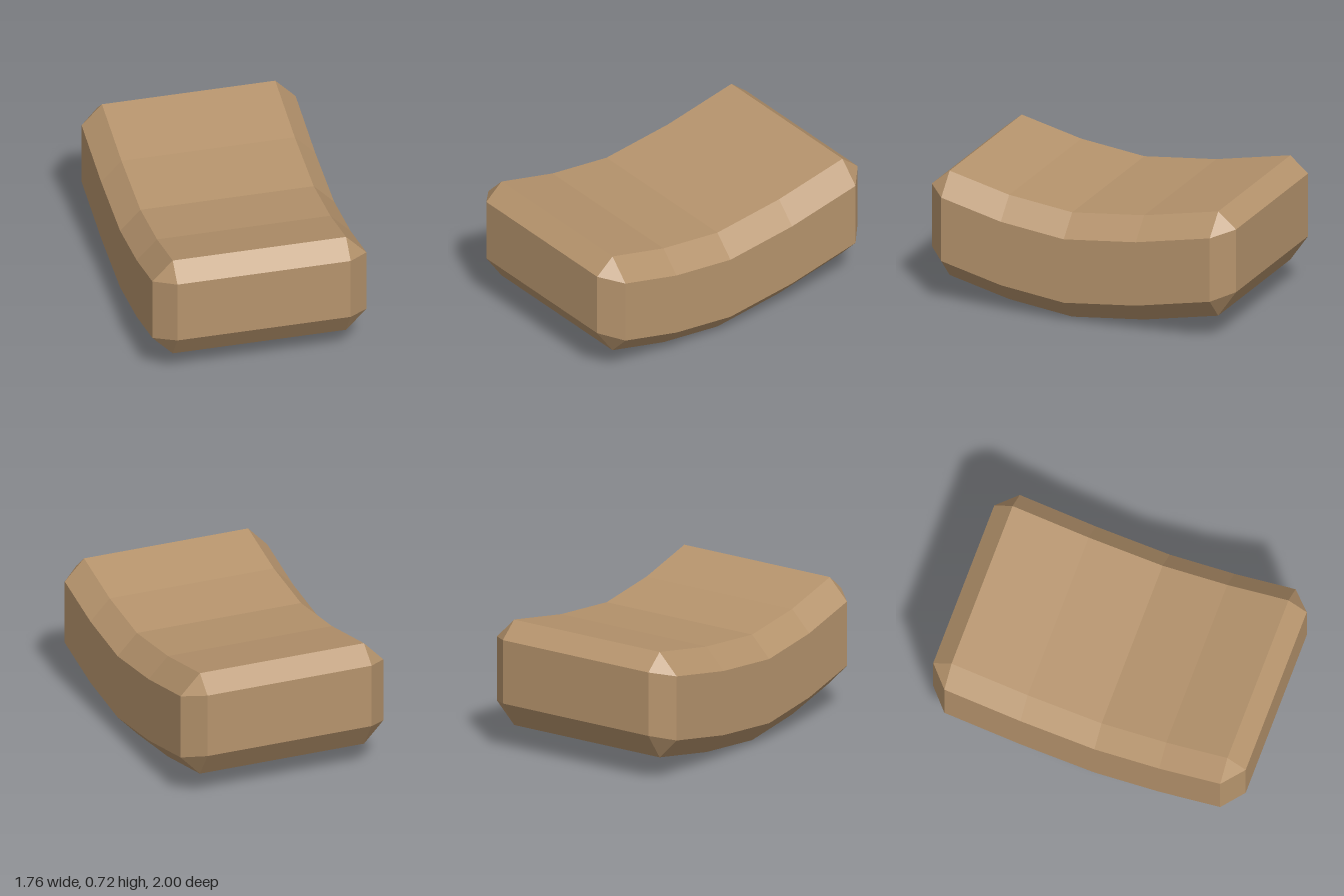
import * as THREE from 'three';

const HALF_FACE = 0.472;  // half width of the top, bottom and end faces
const HALF_SIDE = 0.583;  // half width out to the flat sides
const BEVEL = 0.115;

// Stations along the length, front to back: [z, underside height]
const STATIONS = [[0.776, 0.13], [0.432, 0.045], [0.068, 0], [-0.348, 0.045], [-0.776, 0.13]];
const THICKNESS = 0.587;

// Eight-point cross-section, counter-clockwise seen from the front
function section(z, sideX, y0, y1, y2, y3) {
  return [
    [HALF_FACE, y0], [sideX, y1], [sideX, y2], [HALF_FACE, y3],
    [-HALF_FACE, y3], [-sideX, y2], [-sideX, y1], [-HALF_FACE, y0],
  ].map(([x, y]) => new THREE.Vector3(x, y, z));
}

function slabGeometry() {
  // The end sections fold their bevels flat, leaving a rectangular face
  const end = (z) => section(z, HALF_FACE, 0.277, 0.277, 0.63, 0.63);
  const rings = [
    end(0.879),
    ...STATIONS.map(([z, y]) =>
      section(z, HALF_SIDE, y, y + BEVEL, y + THICKNESS - BEVEL, y + THICKNESS)),
    end(-0.879),
  ];
  const points = [];
  const triangle = (a, b, c) => {
    if (a.equals(b) || b.equals(c) || c.equals(a)) return;
    points.push(a, b, c);
  };

  // Skin between neighbouring sections
  for (let i = 0; i < rings.length - 1; i++) {
    for (let k = 0; k < 8; k++) {
      const n = (k + 1) % 8;
      const [a, b] = [rings[i][k], rings[i][n]];
      const [c, d] = [rings[i + 1][k], rings[i + 1][n]];
      triangle(a, c, b);
      triangle(b, c, d);
    }
  }

  // Flat end faces
  const front = rings[0], back = rings[rings.length - 1];
  triangle(front[0], front[3], front[4]);
  triangle(front[0], front[4], front[7]);
  triangle(back[0], back[4], back[3]);
  triangle(back[0], back[7], back[4]);

  const geometry = new THREE.BufferGeometry().setFromPoints(points);
  geometry.computeVertexNormals();
  return geometry;
}

export function createModel() {
  const group = new THREE.Group();
  group.name = 'curvedBlock';
  const tan = new THREE.MeshStandardMaterial({ color: 0xb5936c, flatShading: true });
  tan.name = 'tan';

  // Sagging bevelled slab, turned about the upright axis
  const slab = new THREE.Mesh(slabGeometry(), tan);
  slab.name = 'bevelledSlab';
  slab.rotation.y = 0.497;
  group.add(slab);
  return group;
}
